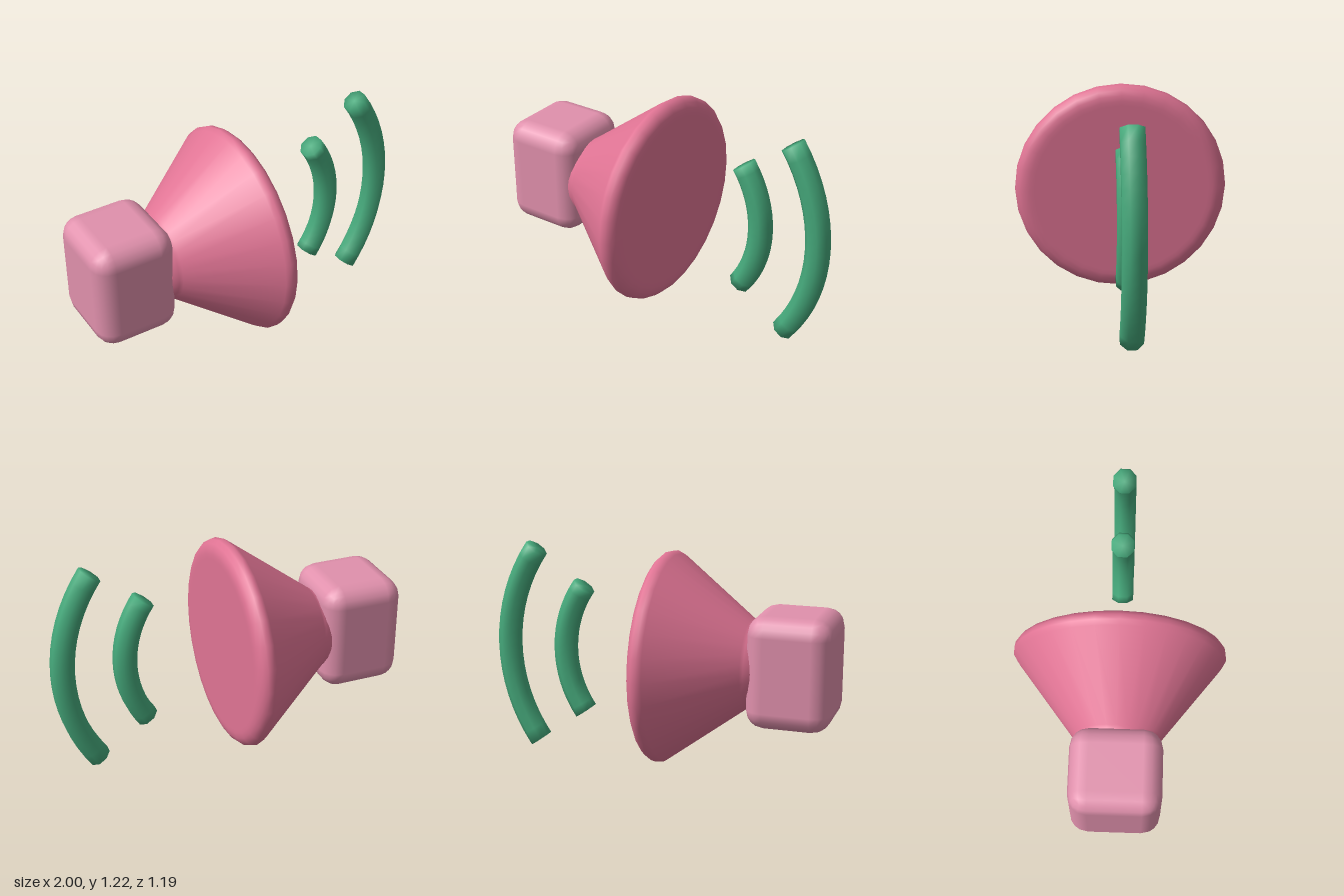
import * as THREE from 'three';
import { RoundedBoxGeometry } from 'three/addons/geometries/RoundedBoxGeometry.js';

const CENTER_Y = 0.613;

function material(name, color) {
  const m = new THREE.MeshStandardMaterial({ color });
  m.name = name;
  return m;
}

// Eight-sided bar bent along an arc in the xy plane, closed at both ends
function arcBar(radius, halfAngle, thickness, steps) {
  const sides = 8, pos = [], index = [];
  for (let i = 0; i <= steps; i++) {
    const t = -halfAngle + (2 * halfAngle * i) / steps;
    for (let j = 0; j < sides; j++) {
      const p = ((j + 0.5) / sides) * Math.PI * 2;
      const r = radius + thickness * Math.cos(p);
      pos.push(r * Math.cos(t), r * Math.sin(t), thickness * Math.sin(p));
    }
  }
  for (let i = 0; i < steps; i++) {
    for (let j = 0; j < sides; j++) {
      const k = (j + 1) % sides;
      const a = i * sides + j, b = i * sides + k;
      index.push(a, a + sides, b, b, a + sides, b + sides);
    }
  }
  // End caps
  const last = steps * sides, cap = pos.length / 3;
  for (const t of [-halfAngle, halfAngle]) pos.push(radius * Math.cos(t), radius * Math.sin(t), 0);
  for (let j = 0; j < sides; j++) {
    const k = (j + 1) % sides;
    index.push(cap, j, k, cap + 1, last + k, last + j);
  }
  const g = new THREE.BufferGeometry();
  g.setAttribute('position', new THREE.Float32BufferAttribute(pos, 3));
  g.setIndex(index);
  g.computeVertexNormals();
  return g;
}

export function createModel() {
  const group = new THREE.Group();
  const lightPink = material('lightPink', 0xe090ac);
  const pink = material('pink', 0xe07494);
  const green = material('green', 0x46aa7c);

  const add = (name, geometry, mat, x) => {
    const mesh = new THREE.Mesh(geometry, mat);
    mesh.name = name;
    mesh.position.set(x, CENTER_Y, 0);
    group.add(mesh);
  };

  // Rounded block behind the cone
  add('speakerBody', new RoundedBoxGeometry(0.47, 0.625, 0.5, 2, 0.105), lightPink, -0.765);

  // Cone with softened rims, turned about the x axis: [radius, x]
  const profile = [
    [0, -0.585], [0.17, -0.585], [0.2, -0.582], [0.225, -0.565], [0.237, -0.53], [0.25, -0.513],
    [0.58, -0.075], [0.597, -0.05], [0.592, -0.02], [0.572, 0.003], [0.545, 0.017],
    [0.515, 0.021], [0.49, 0.021], [0, 0.021],
  ].map(([r, x]) => new THREE.Vector2(r, x));
  add('speakerCone', new THREE.LatheGeometry(profile, 28).rotateZ(-Math.PI / 2), pink, 0);

  // Two concentric sound waves
  const angle = THREE.MathUtils.degToRad(35);
  add('innerSoundWave', arcBar(0.645, angle, 0.068, 16), green, -0.06);
  add('outerSoundWave', arcBar(0.997, angle, 0.068, 16), green, -0.06);

  return group;
}
